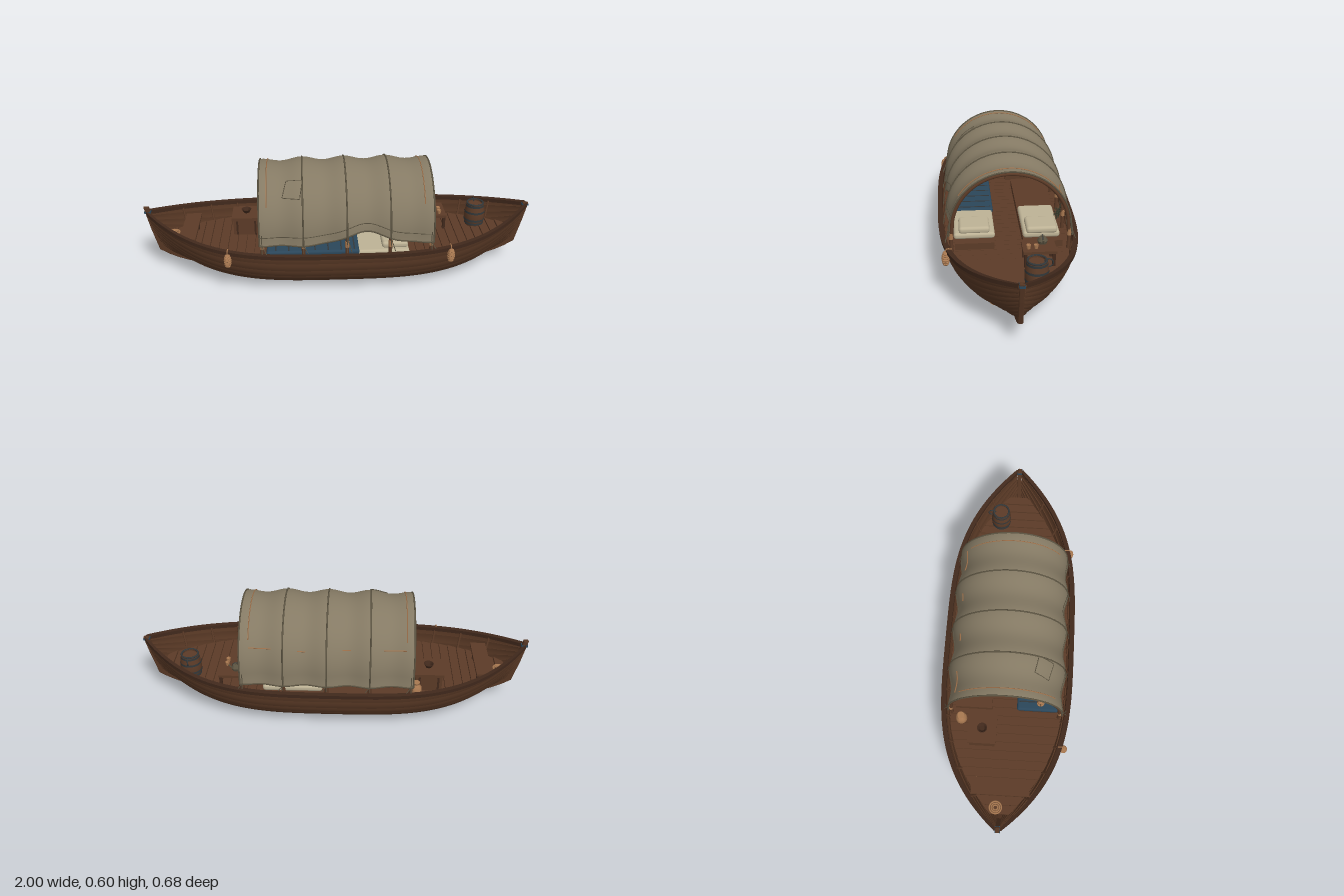
import * as THREE from 'three';
import { toCreasedNormals, mergeGeometries } from 'three/addons/utils/BufferGeometryUtils.js';
import { RoundedBoxGeometry } from 'three/addons/geometries/RoundedBoxGeometry.js';

const mat = (name, color, side = THREE.FrontSide) => {
  const m = new THREE.MeshStandardMaterial({ color, side });
  m.name = name;
  return m;
};
const V = (x, y, z) => new THREE.Vector3(x, y, z);

// Hull form: u runs along the boat (-1..1), v from keel to sheer (0..1)
const sheer = u => 0.225 + 0.1 * Math.abs(u) ** 3.5;
const keel = u => 0.01 + 0.11 * Math.abs(u) ** 6;
const beam = u => 0.008 + 0.322 * (1 - Math.abs(u) ** 3.5);
const midSection = new THREE.SplineCurve([[0, 0], [0.32, 0.005], [0.64, 0.09], [0.84, 0.32], [0.95, 0.64], [1, 1]]
  .map(p => new THREE.Vector2(...p)));

function section(u, v) {
  const t = Math.abs(u) ** 3, p = midSection.getPoint(Math.min(v, 1));
  const h = THREE.MathUtils.lerp(Math.max(0, p.y), v, t), w = THREE.MathUtils.lerp(p.x, v ** 0.65, t);
  return V(u * (0.925 + 0.062 * h ** 0.85), keel(u) + (sheer(u) - keel(u)) * h, beam(u) * w);
}

function hullPoint(u, v, side, out = 0) {
  const p = section(u, v);
  if (out) {
    const a = section(u, Math.max(0, v - 0.02)), b = section(u, Math.min(1, v + 0.02));
    const dz = b.z - a.z, dy = b.y - a.y, l = Math.hypot(dz, dy) || 1;
    p.z += out * dy / l;
    p.y -= out * dz / l;
  }
  p.z *= side;
  return p;
}

// Half width of the hull inside at a given x and height
function innerHalf(x, y) {
  const u = THREE.MathUtils.clamp(x / 0.965, -1, 1);
  for (let v = 0; v <= 1; v += 0.02) {
    const p = section(u, v);
    if (p.y >= y) return Math.max(0.004, p.z - 0.006);
  }
  return beam(u);
}
const deckY = x => 0.15 + 0.55 * (sheer(x / 0.965) - 0.225);

// Surface from a function of two grid indices
function grid(nu, nv, fn) {
  const pos = [], index = [];
  for (let i = 0; i <= nu; i++) for (let j = 0; j <= nv; j++) pos.push(...fn(i, j).toArray());
  for (let i = 0; i < nu; i++) for (let j = 0; j < nv; j++) {
    const a = i * (nv + 1) + j, b = a + nv + 1;
    index.push(a, b, a + 1, b, b + 1, a + 1);
  }
  const g = new THREE.BufferGeometry();
  g.setAttribute('position', new THREE.Float32BufferAttribute(pos, 3));
  g.setIndex(index);
  g.computeVertexNormals();
  return g;
}

// Canopy cloth: scalloped between hoops, front edge lifted
const X0 = -0.4, X1 = 0.455, BAY = (X1 - X0) / 4, CY = 0.3;
const hoopXs = [0, 1, 2, 3, 4].map(i => X0 + i * BAY);
const clothRadius = x => 0.294 - 0.017 * Math.sin(Math.PI * (x - X0) / BAY) ** 2
  - 0.01 * Math.abs((x - 0.0275) / 0.4275) ** 6;
const frontEdge = x => 0.268 + 0.065 * Math.exp(-(((x - 0.12) / 0.14) ** 2));
function clothPoint(x, s, out = 0) {
  const R = clothRadius(x), lo = frontEdge(x) - CY, hi = Math.PI * R + CY - 0.255;
  const l = lo + (hi - lo) * s, r = R + out;
  if (l < 0) return V(x, CY + l, r - l * 0.15);
  if (l > Math.PI * R) return V(x, CY - (l - Math.PI * R), -r - (l - Math.PI * R) * 0.15);
  return V(x, CY + r * Math.sin(l / R), r * Math.cos(l / R));
}

export function createModel() {
  const boat = new THREE.Group();
  boat.name = 'coveredBoat';
  const D = THREE.DoubleSide;
  const hullWood = mat('hullWood', 0x553623, D), deckWood = mat('deckWood', 0x5c3b27);
  const darkWood = mat('darkWood', 0x41291c, D), canvas = mat('canvas', 0x857a64, D);
  const hem = mat('canvasHem', 0x5c5442), blue = mat('blueCloth', 0x2a465a);
  const cream = mat('creamCloth', 0xbdb295), tan = mat('ropeTan', 0xa87850);
  const iron = mat('iron', 0x33383a), herb = mat('driedHerb', 0x3c4030);

  const add = (name, geo, m, x = 0, y = 0, z = 0) => {
    const o = new THREE.Mesh(geo, m);
    o.name = name;
    o.position.set(x, y, z);
    boat.add(o);
    return o;
  };
  const box = (name, w, h, d, m, x, y, z) => add(name, new THREE.BoxGeometry(w, h, d), m, x, y, z);
  const tube = (name, pts, r, m, n = 24, sides = 6) =>
    add(name, new THREE.TubeGeometry(new THREE.CatmullRomCurve3(pts), n, r, sides), m);
  const lathe = (name, pts, m, x, y, z) =>
    add(name, toCreasedNormals(new THREE.LatheGeometry(pts.map(p => new THREE.Vector2(...p)), 18), 0.7), m, x, y, z);

  // Lapped planking, rail, inner ribs and bottom fastenings on both sides
  const STRAKES = 9, N = 64;
  for (const side of [1, -1]) {
    const planks = [], nails = [];
    for (let k = 0; k < STRAKES; k++) {
      const v0 = k / STRAKES, v1 = (k + 1) / STRAKES, lap = k === 0 ? 0 : k < 4 ? 0.003 : 0.006;
      const lift = t => lap * (1 - t) + 0.0025 * Math.sin(Math.PI * t);
      planks.push(toCreasedNormals(grid(N, 5, (i, j) => {
        const t = Math.max(0, j - 1) / 4;
        return hullPoint(-1 + 2 * i / N, v0 + (v1 - v0) * t, side, j === 0 ? 0 : lift(t));
      }), 0.7));
      if (k < 4) for (let i = -7; i <= 7; i++) {
        const pts = [0.08, 0.35, 0.6, 0.85].map(f =>
          hullPoint((i + 0.25 * (k % 2)) * 0.11, v0 + (v1 - v0) * f, side, lift(f) + 0.0006));
        nails.push(new THREE.TubeGeometry(new THREE.CatmullRomCurve3(pts), 5, 0.0015, 4));
      }
    }
    add('hullPlanking', mergeGeometries(planks), hullWood);
    add('bottomFastenings', mergeGeometries(nails), tan);
    const corners = [[-0.014, -0.012], [0.009, -0.012], [0.011, 0.008], [-0.014, 0.008], [-0.014, -0.012]];
    add('gunwale', toCreasedNormals(grid(N, 4, (i, j) => {
      const p = section(-1 + 2 * i / N, 1);
      return V(p.x, p.y + corners[j][1], side * Math.max(0.002, p.z + corners[j][0]));
    }), 0.6), darkWood);
    for (let u = -0.84; u < 0.9; u += 0.14)
      tube('rib', [0.7, 0.82, 0.97].map(v => hullPoint(u, v, side, -0.007)), 0.006, deckWood, 6, 5);
  }

  // Keel and stem posts as one curved timber
  const outer = [[-1.0, 0.355], [-0.975, 0.235]], inner = [[-0.975, 0.355], [-0.945, 0.235]];
  for (let i = 0; i <= 40; i++) {
    const u = -1 + i / 20;
    outer.push([u * 0.942, keel(u) - 0.01]);
    inner.push([u * 0.91, keel(u) + 0.012]);
  }
  outer.push([0.975, 0.235], [0.997, 0.332]);
  inner.push([0.945, 0.235], [0.97, 0.332]);
  const timber = new THREE.Shape([...outer, ...inner.reverse()].map(p => new THREE.Vector2(...p)));
  add('keelAndStems', new THREE.ExtrudeGeometry(timber,
    { depth: 0.012, bevelThickness: 0.005, bevelSize: 0.003, bevelOffset: -0.003, bevelSegments: 2 }), hullWood, 0, 0, -0.006);
  for (const [x, y] of [[-0.982, 0.327], [0.982, 0.322]]) box('stemBand', 0.032, 0.01, 0.025, blue, x, y, 0);

  // Deck planks trimmed to the hull, rising gently to the ends
  const STEP = 0.046;
  for (let i = -19; i <= 19; i++) {
    const g = new THREE.BoxGeometry(STEP - 0.003, 0.014, 1), p = g.attributes.position, y = deckY(i * STEP);
    for (let k = 0; k < p.count; k++)
      p.setZ(k, Math.sign(p.getZ(k)) * innerHalf(i * STEP + p.getX(k), y - 0.008));
    add('deckPlank', g, deckWood, i * STEP, y - 0.007, 0);
  }

  // Cross bench with legs
  box('bench', 0.08, 0.014, 0.29, deckWood, -0.77, 0.232, 0);
  for (const z of [-0.09, 0.09]) box('benchLeg', 0.06, 0.07, 0.014, darkWood, -0.77, 0.193, z);

  // Canopy sheet, hems and stitching
  add('canopy', grid(64, 48, (i, j) => clothPoint(X0 + (X1 - X0) * i / 64, j / 48)), canvas);
  const line = (n, fn) => Array.from({ length: n + 1 }, (_, i) => fn(i / n));
  for (const x of hoopXs) tube('canopySeam', line(30, s => clothPoint(x, s, 0.001)), 0.004, hem, 60);
  for (const s of [0, 1]) tube('canopyEdge', line(30, t => clothPoint(X0 + (X1 - X0) * t, s)), 0.004, hem, 60);
  tube('foldedHem', line(40, t => clothPoint(X0 + (X1 - X0) * t, 0.045, 0.0015)), 0.0022, hem, 80);
  for (const x of [-0.362, 0.41])
    tube('stitching', line(20, t => clothPoint(x, 0.2 + 0.56 * t, 0.002)), 0.0025, tan, 40, 4);
  for (const [x, w] of [[-0.305, 0.055], [-0.07, 0.02], [0.15, 0.02], [0.352, 0.055]])
    tube('mending', line(10, t => clothPoint(x - w + 2 * w * t, 0.8, 0.0025)), 0.003, tan, 20, 4);
  const patch = [[-0.265, 0.345], [-0.185, 0.335], [-0.2, 0.235], [-0.285, 0.25], [-0.265, 0.345]];
  add('canopyPatch', grid(6, 6, (i, j) => {
    const mix = (a, b, t) => a + (b - a) * t, s = i / 6, t = j / 6;
    const at = c => mix(mix(patch[0][c], patch[1][c], s), mix(patch[3][c], patch[2][c], s), t);
    return clothPoint(at(0), at(1), 0.002);
  }), canvas);
  for (let k = 0; k < 4; k++) tube('patchSeam', line(5, t => clothPoint(
    patch[k][0] + (patch[k + 1][0] - patch[k][0]) * t,
    patch[k][1] + (patch[k + 1][1] - patch[k][1]) * t, 0.002)), 0.002, hem, 8, 4);

  // Bent hoops with lashed feet and tie ropes
  for (const x of hoopXs) {
    const hx = THREE.MathUtils.clamp(x, X0 + 0.012, X1 - 0.012);
    const arc = line(16, t => V(hx, CY + 0.27 * Math.sin(Math.PI * t), 0.273 * Math.cos(Math.PI * t)));
    tube('hoop', [V(hx, 0.18, 0.275), V(hx, 0.24, 0.278), ...arc, V(hx, 0.24, -0.278), V(hx, 0.18, -0.275)], 0.009, deckWood, 60, 8);
    for (const side of [1, -1]) {
      add('hoopLashing', new THREE.CylinderGeometry(0.0105, 0.0105, 0.032, 10), tan, hx, 0.264, side * 0.278);
      const s = side > 0 ? 0.06 : 0.94, rail = section(x / 0.97, 1).z;
      for (const dx of [0, 0.022])
        tube('tieRope', [clothPoint(hx, s, 0.004), clothPoint(hx, side > 0 ? 0.01 : 0.99, 0.006),
          V(hx + dx, 0.236, side * Math.min(rail, 0.312))], 0.002, hem, 8, 5);
    }
  }
  for (const a of [0.25, 0.5, 0.75]) {
    const pole = add('canopyPole', new THREE.CylinderGeometry(0.005, 0.005, X1 - X0 - 0.03, 8), deckWood,
      0.0275, CY + 0.268 * Math.sin(Math.PI * a), 0.268 * Math.cos(Math.PI * a));
    pole.rotation.z = Math.PI / 2;
  }

  // Sleeping platforms and bedding
  const soft = (name, w, h, d, m, x, y, z) => add(name, new RoundedBoxGeometry(w, h, d, 3, h * 0.42), m, x, y, z);
  for (const side of [1, -1]) box('bedPlatform', 0.74, 0.035, 0.19, deckWood, 0.01, 0.168, side * 0.165);
  soft('mattress', 0.7, 0.032, 0.2, cream, -0.01, 0.201, 0.165);
  soft('blanket', 0.46, 0.03, 0.212, blue, -0.14, 0.21, 0.165);
  for (let i = 0; i < 7; i++) box('blanketStripe', 0.007, 0.002, 0.19, iron, 0.065 - i * 0.065, 0.2255, 0.165);
  soft('pillow', 0.13, 0.035, 0.15, cream, 0.27, 0.228, 0.165);
  soft('cushion', 0.3, 0.035, 0.18, cream, 0.2, 0.202, -0.16);
  soft('backPillow', 0.13, 0.035, 0.15, cream, 0.3, 0.233, -0.16);

  // Chest with lid, straps and bowl
  box('chest', 0.135, 0.09, 0.13, deckWood, -0.487, 0.195, -0.11);
  box('chestLid', 0.15, 0.016, 0.145, deckWood, -0.487, 0.248, -0.11);
  for (const x of [-0.535, -0.44]) box('chestStrap', 0.01, 0.1, 0.134, darkWood, x, 0.192, -0.11);
  lathe('bowl', [[0, 0], [0.014, 0], [0.026, 0.02], [0.022, 0.02], [0.012, 0.006], [0, 0.006]], darkWood, -0.487, 0.256, -0.11);
  lathe('jug', [[0, 0], [0.022, 0], [0.03, 0.03], [0.026, 0.065], [0.014, 0.08], [0.018, 0.092], [0, 0.092]], tan, -0.42, 0.15, -0.225);

  // Galley table with kettle and cups
  box('galleyTop', 0.12, 0.014, 0.155, deckWood, 0.52, 0.233, -0.125);
  for (const x of [0.47, 0.57]) for (const z of [-0.19, -0.06])
    box('galleyLeg', 0.014, 0.08, 0.014, darkWood, x, 0.187, z);
  lathe('kettle', [[0, 0], [0.02, 0], [0.025, 0.015], [0.016, 0.03], [0.005, 0.033], [0.005, 0.04], [0, 0.04]], hem, 0.495, 0.24, -0.145);
  add('kettleHandle', new THREE.TorusGeometry(0.018, 0.002, 6, 16, Math.PI), iron, 0.495, 0.262, -0.145);
  tube('kettleSpout', [V(0.515, 0.25, -0.145), V(0.525, 0.258, -0.145), V(0.53, 0.27, -0.145)], 0.004, hem, 6);
  for (const z of [-0.11, -0.075]) lathe('cup', [[0, 0], [0.008, 0], [0.011, 0.02], [0.009, 0.02], [0, 0.004]], tan, 0.545, 0.24, z);

  // Water barrel
  lathe('barrel', [[0, 0], [0.042, 0], [0.052, 0.04], [0.055, 0.07], [0.052, 0.1], [0.044, 0.142], [0.038, 0.142], [0.038, 0.132], [0, 0.132]], deckWood, 0.74, 0.153, -0.09);
  for (const [y, r] of [[0.03, 0.0515], [0.05, 0.0545], [0.095, 0.0545], [0.13, 0.049]])
    add('barrelHoop', new THREE.CylinderGeometry(r, r, 0.012, 20, 1, true), iron, 0.74, 0.153 + y, -0.09);
  add('barrelRim', new THREE.TorusGeometry(0.042, 0.005, 6, 24), iron, 0.74, 0.293, -0.09).rotation.x = Math.PI / 2;
  add('barrelRing', new THREE.TorusGeometry(0.02, 0.003, 6, 18), iron, 0.74, 0.278, -0.14).rotation.y = Math.PI / 2;

  // Rope coil in the end
  for (let i = 0; i < 3; i++)
    add('ropeCoil', new THREE.TorusGeometry(0.03 - i * 0.009, 0.004, 6, 20), tan, -0.865, deckY(-0.865) + 0.006, -0.02).rotation.x = Math.PI / 2;

  // Rope fenders on the front side
  for (const x of [-0.557, 0.54]) {
    const rib = Array.from({ length: 25 }, (_, i) =>
      [0.019 * Math.sin(Math.PI * (0.12 + 0.76 * i / 24)) ** 0.6 - (i % 4 === 0 ? 0.003 : 0), 0.07 * i / 24]);
    lathe('fender', [[0, 0], ...rib, [0, 0.07]], tan, x, 0.167, 0.305);
    tube('fenderRope', [V(x, 0.234, 0.305), V(x, 0.25, 0.3), V(x, 0.25, 0.275)], 0.003, tan, 8);
  }

  // Hanging lantern
  const L = [-0.37, 0.38, 0.175];
  lathe('lantern', [[0, 0], [0.019, 0], [0.019, 0.008], [0.015, 0.01], [0.018, 0.03], [0.015, 0.048], [0.019, 0.05], [0.012, 0.064], [0, 0.066]], tan, ...L);
  for (let i = 0; i < 4; i++) {
    const a = i * Math.PI / 2;
    box('lanternBar', 0.002, 0.045, 0.002, darkWood, L[0] + 0.018 * Math.cos(a), 0.409, L[2] + 0.018 * Math.sin(a));
  }
  add('lanternHandle', new THREE.TorusGeometry(0.015, 0.0015, 5, 16, Math.PI), iron, L[0], 0.442, L[2]).rotation.y = Math.PI / 2;
  tube('lanternCord', [V(L[0], 0.457, L[2]), V(L[0], 0.505, L[2])], 0.0015, tan, 2, 5);

  // Bundle of drying herbs
  for (let i = 0; i < 9; i++) {
    const a = i * 2.4, r = 0.005 + 0.0014 * i;
    const tip = V(0.42 + r * Math.cos(a), 0.333 + 0.006 * (i % 4), -0.22 + r * Math.sin(a));
    tube('herbStem', [V(0.42, 0.405, -0.24), V(0.42, 0.38, -0.23), tip], 0.0015, herb, 6, 4);
    for (const t of [0, 0.015, 0.03])
      add('herbLeaf', new THREE.OctahedronGeometry(0.004), herb, tip.x, tip.y + t, tip.z - t * 0.2).scale.set(1, 1.7, 0.7);
  }
  return boat;
}
